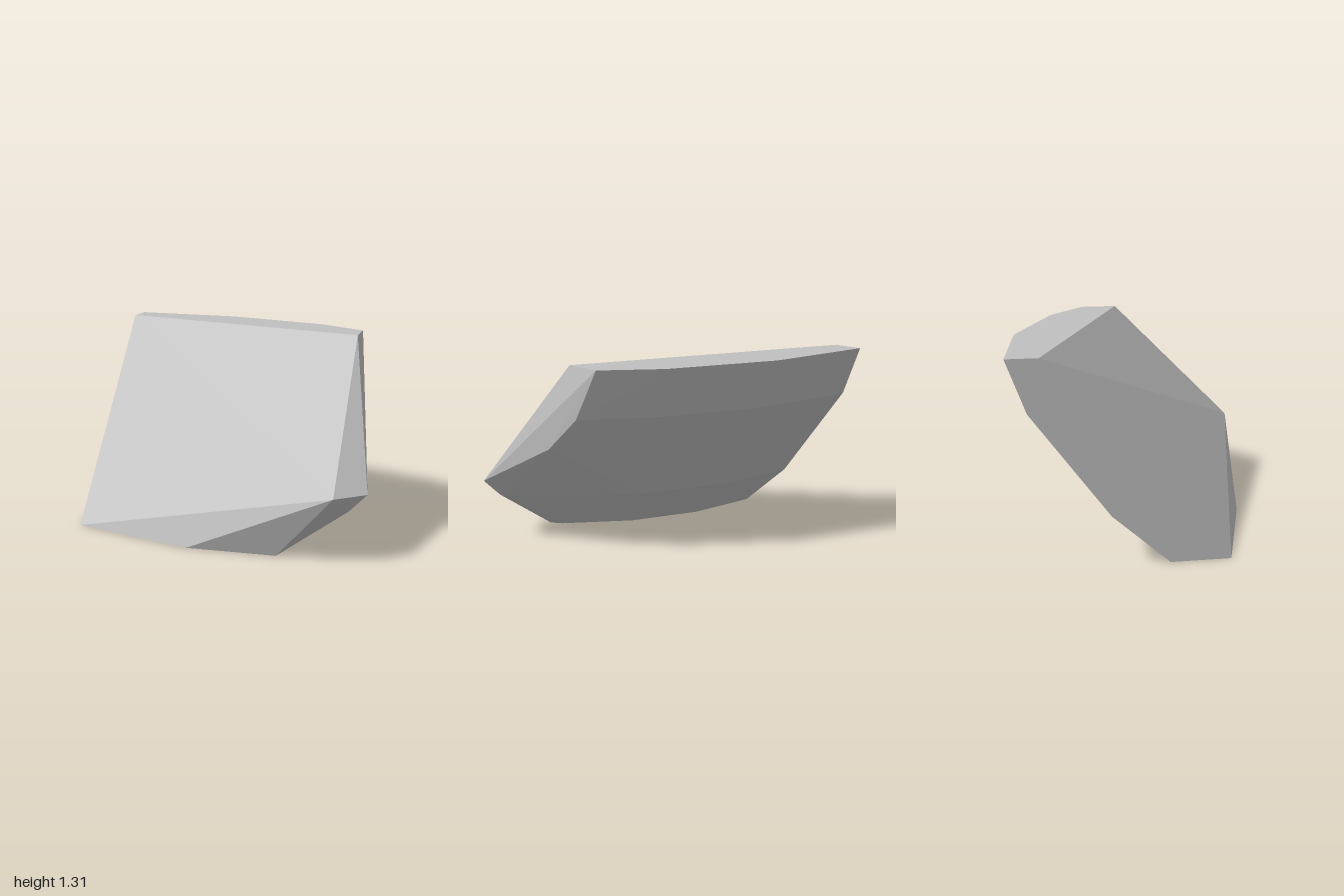
import * as THREE from 'three';
import { ConvexGeometry } from 'three/addons/geometries/ConvexGeometry.js';

// Point on the faceted round back: 15 degree steps about a vertical axis
const AXIS_X = -1, AXIS_Z = 2.05;
function backPoint(radius, y, step) {
  const a = THREE.MathUtils.degToRad(15 * step);
  return new THREE.Vector3(AXIS_X + radius * Math.sin(a), y, AXIS_Z - radius * Math.cos(a));
}

export function createModel() {
  const stone = new THREE.MeshStandardMaterial({ color: 0xbfbfbf, flatShading: true });
  stone.name = 'stoneGrey';

  // Rings of the rounded back: radius, height, last step before the side cut
  const rings = [
    [2.94, 1.31, 2],
    [2.815, 0.98, 2],
    [2.32, 0.32, 3],
    [1.955, 0, 3],
  ];
  const points = [];
  for (const [radius, y, last] of rings) {
    for (let i = 0; i <= last; i++) points.push(backPoint(radius, y, i));
  }

  // Corners of the sloping front and the chipped left side
  const corners = [
    [-1, 1.31, -0.69], [0.81, 1.31, 0.02], [0.81, 0.44, 0.89],
    [-1, 0, 0.48], [-0.16, 0, 0.74], [0.43, 0, 0.74],
    [0.81, 1.31, -0.23], [0.835, 0.975, -0.06], [0.88, 0.75, 0.165],
    [0.995, 0.44, 0.74], [0.88, 0.32, 0.72],
  ];
  for (const c of corners) points.push(new THREE.Vector3(...c));

  const rock = new THREE.Mesh(new ConvexGeometry(points), stone);
  rock.name = 'rockShard';

  const group = new THREE.Group();
  group.name = 'rock';
  group.add(rock);
  return group;
}
